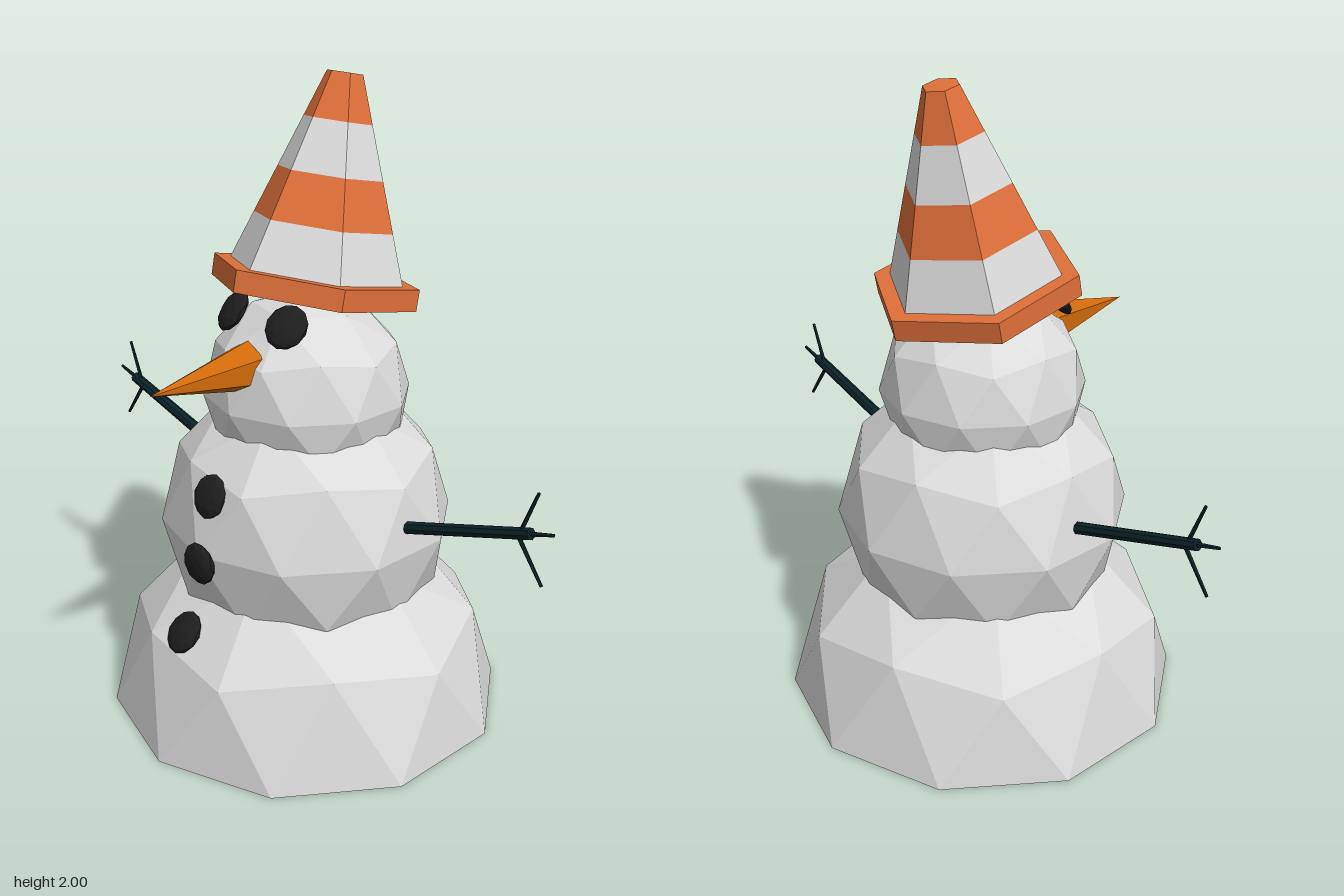
import * as THREE from 'three';

const mat = (name, color, side = THREE.FrontSide) => {
  const m = new THREE.MeshStandardMaterial({ color, flatShading: true, side });
  m.name = name;
  return m;
};

// Gives every face its own normal
function faceted(geo) {
  const g = geo.index ? geo.toNonIndexed() : geo;
  g.computeVertexNormals();
  return g;
}

// Once-subdivided icosahedron standing on a corner
function icoBall(radius) {
  const v = [0, 1, 0], f = [];
  for (const [y, shift] of [[0.4472, 0], [-0.4472, 0.5]]) {
    for (let i = 0; i < 5; i++) {
      const a = (i + shift) * Math.PI * 0.4;
      v.push(0.8944 * Math.cos(a), y, 0.8944 * Math.sin(a));
    }
  }
  v.push(0, -1, 0);
  for (let i = 0; i < 5; i++) {
    const j = (i + 1) % 5, u0 = 1 + i, u1 = 1 + j, l0 = 6 + i, l1 = 6 + j;
    f.push(0, u1, u0, u0, u1, l0, l0, u1, l1, l0, l1, 11);
  }
  return new THREE.PolyhedronGeometry(v, f, radius, 1);
}

export function createModel() {
  const model = new THREE.Group();
  model.name = 'snowman';
  const snow = mat('snow white', 0xdcdcdc, THREE.DoubleSide);
  const orange = mat('hat orange', 0xe0703a, THREE.DoubleSide);
  const carrot = mat('carrot orange', 0xd0690a);
  const coal = mat('coal black', 0x1e1e1e);
  const wood = mat('dark twig', 0x0a2428);

  const add = (parent, name, geo, material) => {
    const m = new THREE.Mesh(faceted(geo), material);
    m.name = name;
    parent.add(m);
    return m;
  };

  // Body: the lowest ball is flattened at the ground
  const base = icoBall(0.633);
  const p = base.attributes.position;
  for (let i = 0; i < p.count; i++) p.setY(i, Math.max(0, p.getY(i)));
  add(model, 'lowerBody', base, snow);
  add(model, 'middleBody', icoBall(0.46), snow).position.y = 0.64;
  add(model, 'head', icoBall(0.32), snow).position.y = 1.05;

  // Coal lumps: flattened balls facing along a normal
  const lump = (name, pos, normal, roll, w, h) => {
    const m = add(model, name, icoBall(1).scale(w, h, 0.024).rotateZ(roll), coal);
    m.position.set(...pos);
    m.lookAt(pos[0] + normal[0], pos[1] + normal[1], pos[2] + normal[2]);
  };
  for (const s of [1, -1]) {
    lump(s > 0 ? 'leftEye' : 'rightEye', [s * 0.115, 1.32, 0.195], [s * 0.3, 0.6, 0.75], s * -0.2, 0.066, 0.069);
  }
  lump('topButton', [0, 0.815, 0.4], [0, 0.37, 0.93], 0, 0.066, 0.068);
  lump('middleButton', [0.003, 0.613, 0.452], [0, 0, 1], 0.3, 0.066, 0.066);
  lump('bottomButton', [-0.045, 0.37, 0.48], [-0.08, 0.64, 0.76], 0.2, 0.066, 0.068);

  // Carrot nose
  add(model, 'nose', new THREE.ConeGeometry(0.078, 0.37, 6).rotateX(Math.PI / 2), carrot)
    .position.set(0, 1.185, 0.425);

  // Twig arms with three fingers each
  const stick = (parent, name, a, b, r0, r1, sides) => {
    const from = new THREE.Vector3(...a, 0), to = new THREE.Vector3(...b, 0);
    const dir = to.clone().sub(from);
    const m = add(parent, name, new THREE.CylinderGeometry(r1, r0, dir.length(), sides), wood);
    m.position.copy(from).add(to).multiplyScalar(0.5);
    m.quaternion.setFromUnitVectors(new THREE.Vector3(0, 1, 0), dir.normalize());
  };
  for (const s of [1, -1]) {
    const arm = new THREE.Group();
    arm.name = s > 0 ? 'leftArm' : 'rightArm';
    stick(arm, 'branch', [s * 0.36, 0.705], [s * 0.87, 0.863], 0.02, 0.018, 8);
    stick(arm, 'upperFinger', [s * 0.832, 0.85], [s * 0.888, 0.99], 0.007, 0.005, 5);
    stick(arm, 'middleFinger', [s * 0.85, 0.857], [s * 0.945, 0.885], 0.008, 0.005, 5);
    stick(arm, 'lowerFinger', [s * 0.825, 0.845], [s * 0.915, 0.718], 0.007, 0.005, 5);
    model.add(arm);
  }

  // Six-sided striped cone hat, tilted back
  const hat = new THREE.Group();
  hat.name = 'hat';
  hat.position.set(0, 1.386, -0.028);
  hat.rotation.x = -0.205;
  model.add(hat);
  const lathe = (pts) => new THREE.LatheGeometry(pts.map(([r, y]) => new THREE.Vector2(r, y)), 6);
  const t = 0.033;
  add(hat, 'brim', lathe([[0.322, -t], [0.322, t], [0.27, t], [0.27, -t], [0.322, -t]]), orange);
  const levels = [0, 0.25, 0.5, 0.765, 1].map((k) => [0.27 - 0.215 * k, t + 0.587 * k]);
  for (let i = 0; i < 4; i++) {
    const pts = [levels[i], levels[i + 1]];
    if (i === 3) pts.push([0, levels[4][1]]);
    add(hat, `hatBand${i + 1}`, lathe(pts), i % 2 ? orange : snow);
  }
  return model;
}
